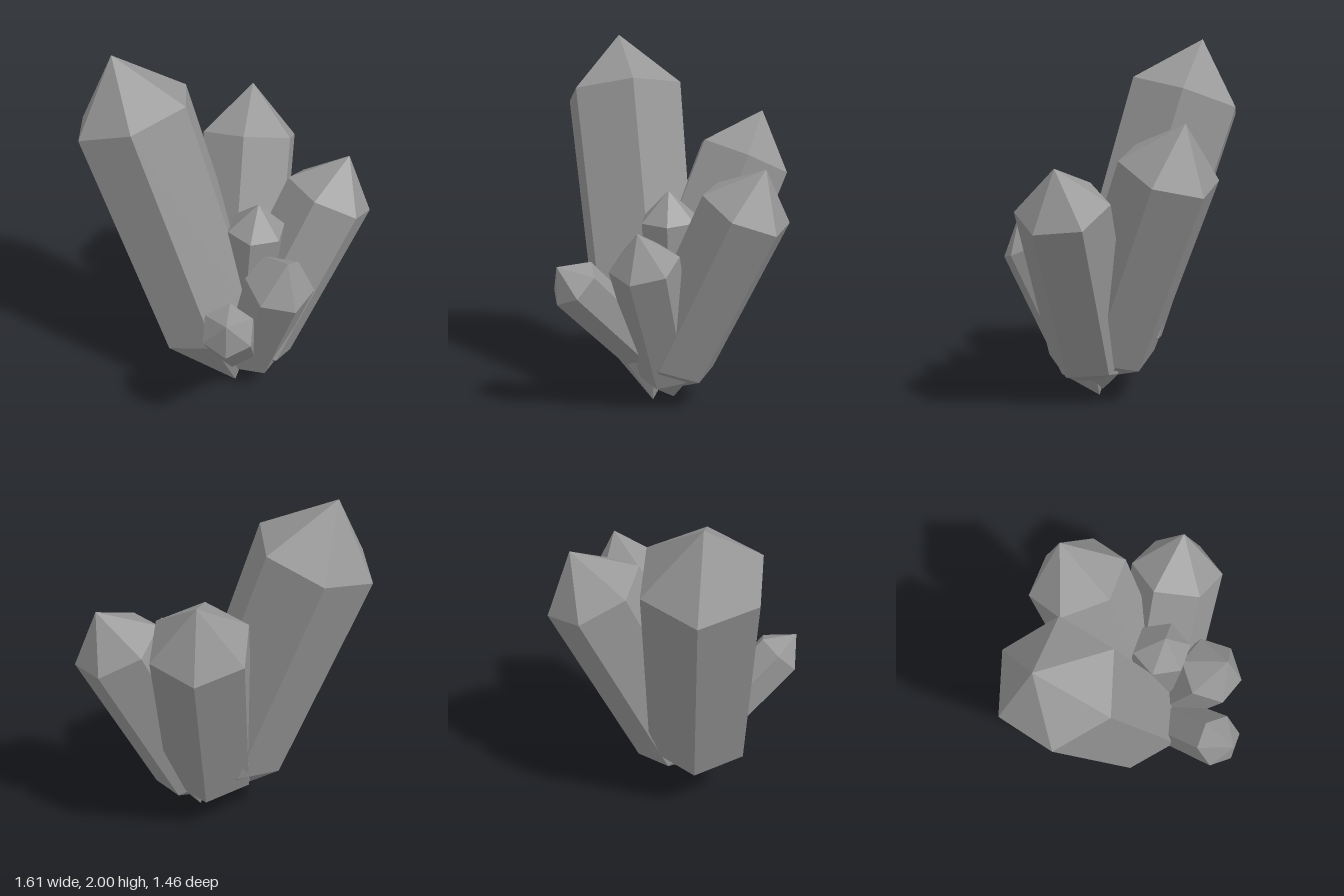
import * as THREE from 'three';

// Each crystal: centre of the upper shoulder ring, axis vector from the lower to the
// upper ring, direction towards one corner, radii of the upper and lower rings,
// and lengths of the two pointed ends.
const crystals = [
  { name: 'tallLeaningCrystal', shoulder: [-0.5, 1.68, -0.03], axis: [-0.445, 1.29, -0.12], corner: [0.31, 0.12, 0.12], radius: 0.348, base: 0.31, tip: 0.34, root: 0.414 },
  { name: 'backCrystal', shoulder: [0.092, 1.34, -0.47], axis: [0.02, 1.03, -0.48], corner: [0.01, -0.11, -0.26], radius: 0.285, base: 0.272, tip: 0.287, root: 0.25 },
  { name: 'sideCrystal', shoulder: [0.573, 1.157, -0.158], axis: [0.395, 0.885, -0.205], corner: [0.227, -0.11, -0.03], radius: 0.258, base: 0.24, tip: 0.25, root: 0.25 },
  { name: 'uprightCrystal', shoulder: [0.187, 1.06, 0.085], axis: [0.06, 0.9, 0.065], corner: [-0.1, 0, 1], radius: 0.165, base: 0.145, tip: 0.162, root: 0.11 },
  { name: 'frontSideCrystal', shoulder: [0.342, 0.87, 0.337], axis: [0.165, 0.68, 0.25], corner: [1, 0, -0.03], radius: 0.193, base: 0.158, tip: 0.2, root: 0.19 },
  { name: 'frontShortCrystal', shoulder: [0.09, 0.75, 0.625], axis: [0.012, 0.415, 0.42], corner: [0, 1, -1], radius: 0.149, base: 0.139, tip: 0.148, root: 0.14 },
];

// Six-sided tapered prism with a point at both ends, turned so that a corner faces the given way
function makeCrystal({ name, shoulder, axis, corner, radius, base, tip, root }, material) {
  const up = new THREE.Vector3(...axis);
  const length = up.length();
  up.normalize();
  const profile = [[0, -length - root], [base, -length], [radius, 0], [0, tip]]
    .map(([r, y]) => new THREE.Vector2(r, y));
  const mesh = new THREE.Mesh(new THREE.LatheGeometry(profile, 6), material);
  const out = new THREE.Vector3(...corner).projectOnPlane(up).normalize();
  const side = new THREE.Vector3().crossVectors(up, out);
  mesh.quaternion.setFromRotationMatrix(new THREE.Matrix4().makeBasis(side, up, out));
  mesh.position.set(...shoulder);
  mesh.name = name;
  return mesh;
}

export function createModel() {
  const group = new THREE.Group();
  group.name = 'crystalCluster';
  const material = new THREE.MeshStandardMaterial({ color: 0x979797, flatShading: true });
  for (const crystal of crystals) group.add(makeCrystal(crystal, material));
  return group;
}
